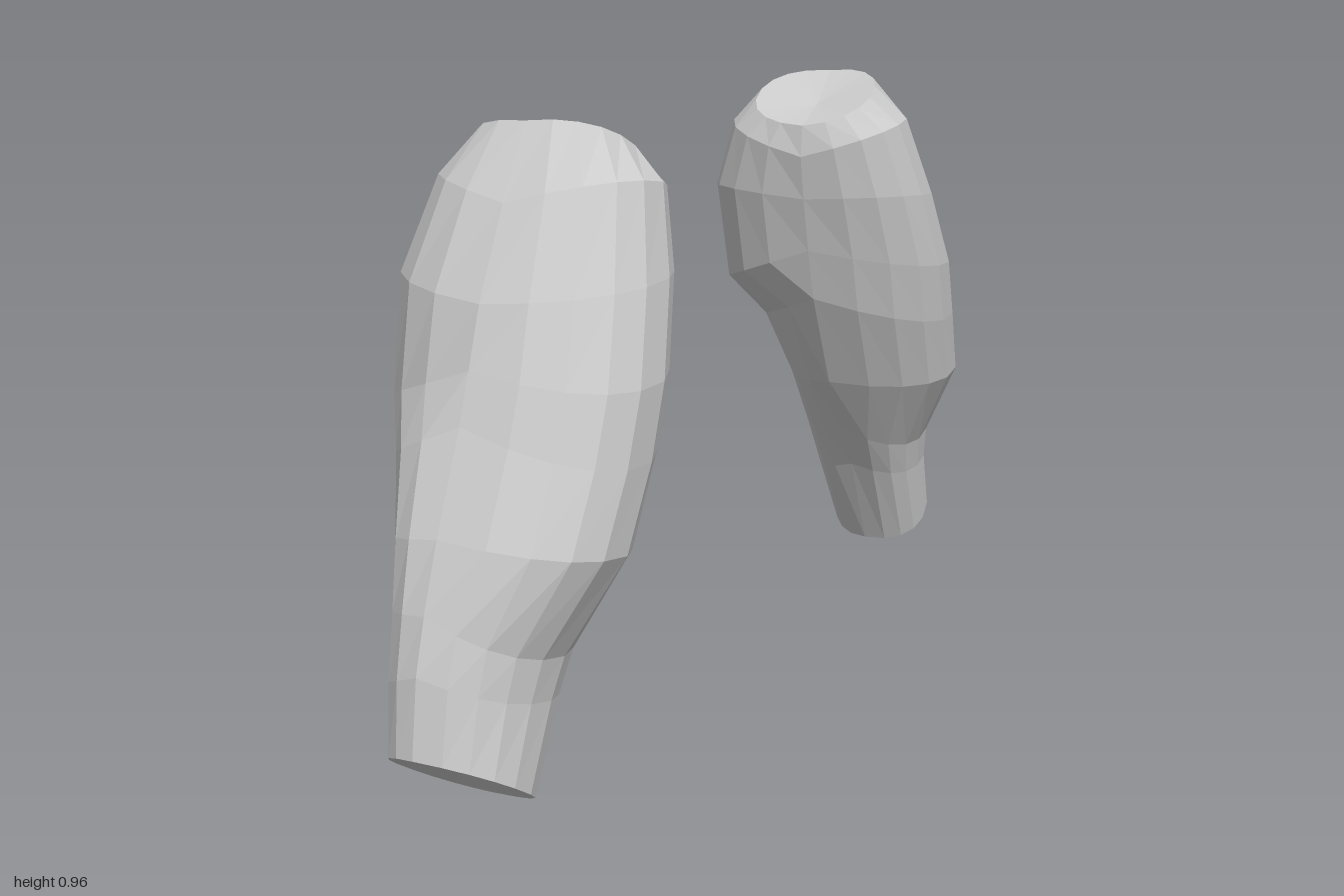
import * as THREE from 'three';

const SIDES = 18;

// Each ring: outer [y, z], inner [y, z], left side [x, y, z], right side [x, y, z]
const RINGS = [
  [[0.105, 1.0], [0.0, 0.81], [0.11, 0.045, 0.9], [-0.08, 0.055, 0.9]],
  [[0.22, 0.985], [0.17, 0.725], [0.115, 0.16, 0.85], [-0.095, 0.17, 0.85]],
  [[0.3, 0.96], [0.25, 0.67], [0.125, 0.22, 0.83], [-0.107, 0.27, 0.81]],
  [[0.4, 0.92], [0.36, 0.59], [0.2, 0.36, 0.78], [-0.122, 0.37, 0.77]],
  [[0.545, 0.85], [0.535, 0.5], [0.21, 0.48, 0.72], [-0.155, 0.48, 0.71]],
  [[0.62, 0.82], [0.63, 0.47], [0.213, 0.59, 0.68], [-0.206, 0.555, 0.63]],
  [[0.71, 0.786], [0.73, 0.443], [0.195, 0.73, 0.62], [-0.215, 0.74, 0.59]],
  [[0.845, 0.71], [0.81, 0.427], [0.163, 0.87, 0.565], [-0.17, 0.87, 0.56]],
  [[0.957, 0.636], [0.867, 0.435], [0.11, 0.925, 0.54], [-0.12, 0.915, 0.54]],
];

// A closed loop made of four elliptical quarters through the four ring points
function ringPoints([o, i, l, r]) {
  const outer = new THREE.Vector3(-0.01, ...o);
  const inner = new THREE.Vector3(0.01, ...i);
  const left = new THREE.Vector3(...l);
  const right = new THREE.Vector3(...r);
  const centre = outer.clone().add(inner).multiplyScalar(0.5);
  const points = [];
  for (let k = 0; k < SIDES; k++) {
    const a = (k / SIDES) * Math.PI * 2;
    const u = Math.sin(a), v = Math.cos(a);
    const across = (u > 0 ? left : right).clone().sub(centre);
    const along = (v > 0 ? outer : inner).clone().sub(centre);
    points.push(centre.clone()
      .addScaledVector(across, Math.abs(u) ** 0.9)
      .addScaledVector(along, Math.abs(v) ** 0.9));
  }
  return points;
}

// Skin the rings and close both ends; side = -1 mirrors the limb to the back
function limbGeometry(side) {
  const rings = RINGS.map(ringPoints);
  const positions = [];
  const tri = (a, b, c) => {
    for (const p of side > 0 ? [a, b, c] : [a, c, b]) positions.push(p.x, p.y, p.z * side);
  };
  const bottom = new THREE.Vector3(0.015, 0.065, 0.9);
  const top = new THREE.Vector3(0, 0.9, 0.54);
  const last = rings.length - 1;
  for (let k = 0; k < SIDES; k++) {
    const n = (k + 1) % SIDES;
    for (let j = 0; j < last; j++) {
      tri(rings[j][k], rings[j][n], rings[j + 1][n]);
      tri(rings[j][k], rings[j + 1][n], rings[j + 1][k]);
    }
    tri(bottom, rings[0][n], rings[0][k]);
    tri(top, rings[last][k], rings[last][n]);
  }
  const geometry = new THREE.BufferGeometry();
  geometry.setAttribute('position', new THREE.Float32BufferAttribute(positions, 3));
  geometry.computeVertexNormals();
  return geometry;
}

export function createModel() {
  const group = new THREE.Group();
  group.name = 'lowerLegs';
  const material = new THREE.MeshStandardMaterial({ color: 0xcccccc, flatShading: true });
  for (const [name, side] of [['frontCalf', 1], ['backCalf', -1]]) {
    const mesh = new THREE.Mesh(limbGeometry(side), material);
    mesh.name = name;
    group.add(mesh);
  }
  return group;
}
